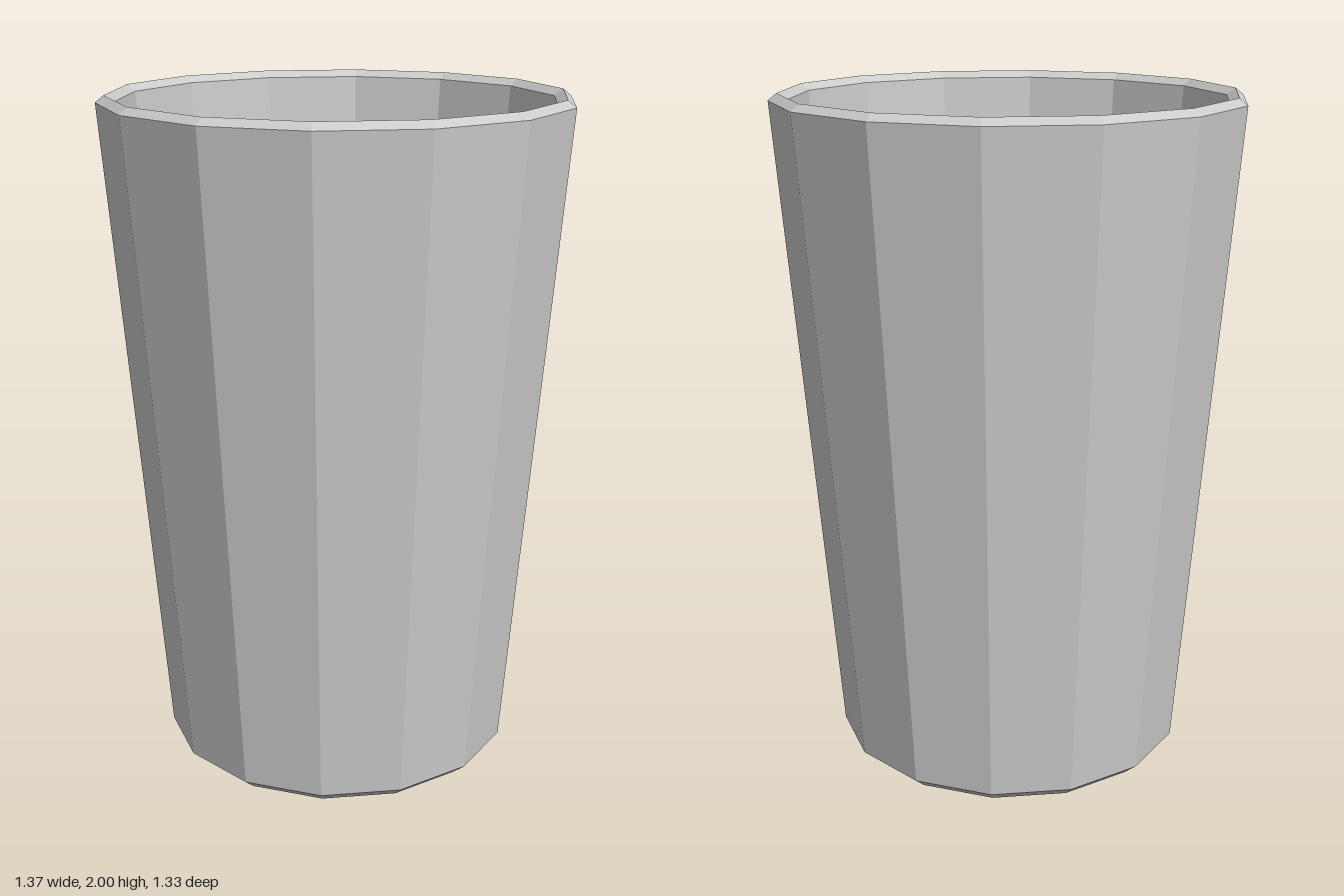
import * as THREE from 'three';

const SIDES = 14;

export function createModel() {
  const group = new THREE.Group();
  group.name = 'tumbler';
  const material = new THREE.MeshStandardMaterial({ color: 0xcccccc, flatShading: true });

  // Closed wall profile: underside, outer wall, bevelled rim, inner wall, inner floor
  const profile = [
    [0, 0], [0.49, 0], [0.53, 0.035],
    [0.683, 1.98], [0.658, 2], [0.633, 1.98],
    [0.476, 0.06], [0.467, 0.05], [0, 0.05],
  ].map(([r, y]) => new THREE.Vector2(r, y));

  // Quarter-turn start puts a corner on each side of the x axis
  const geometry = new THREE.LatheGeometry(profile, SIDES, Math.PI / 2).toNonIndexed();
  geometry.computeVertexNormals();

  const cup = new THREE.Mesh(geometry, material);
  cup.name = 'cup';
  group.add(cup);
  return group;
}
